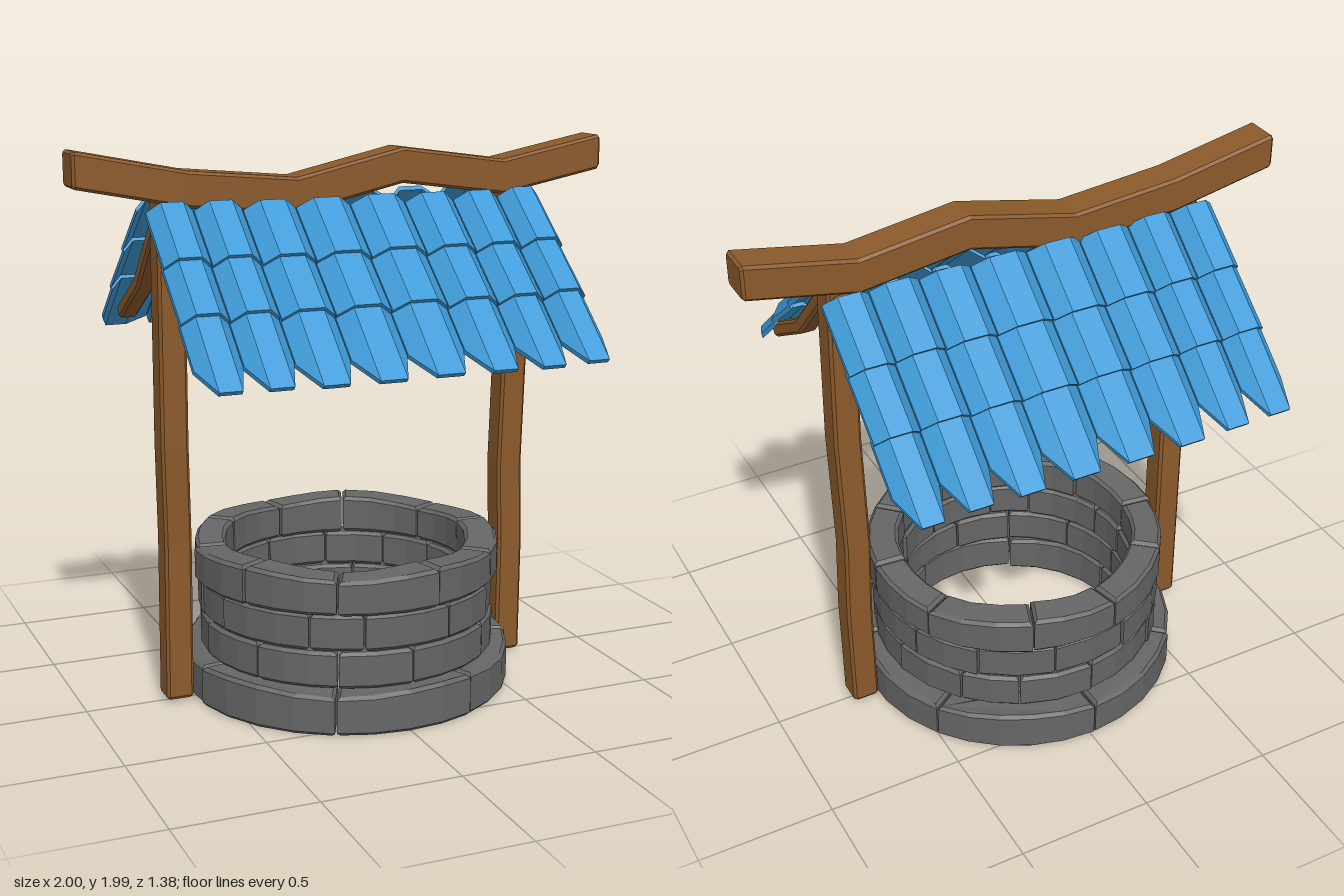
import * as THREE from 'three';

const mat = (color) => new THREE.MeshStandardMaterial({ color, flatShading: true, roughness: 0.9 });
const wood = mat(0x8b5a2b), stone = mat(0x666666), tileBlue = mat(0x3f9bd8);
const V = (x, y, z) => new THREE.Vector3(x, y, z);

let seed = 7;
const rand = () => (seed = (seed * 16807) % 2147483647) / 2147483647;
const jitter = (a) => (rand() * 2 - 1) * a;

// Closed solid through a list of matching rings of points
function loft(rings) {
  const n = rings[0].length, pos = [];
  const quad = (a, b, c, d) => [a, b, c, a, c, d].forEach((p) => pos.push(p.x, p.y, p.z));
  for (let i = 0; i < rings.length - 1; i++) {
    for (let j = 0; j < n; j++) {
      const k = (j + 1) % n;
      quad(rings[i][j], rings[i][k], rings[i + 1][k], rings[i + 1][j]);
    }
  }
  const first = rings[0], last = rings[rings.length - 1];
  for (let k = 0; k < n / 2 - 1; k++) {
    quad(first[n - 1 - k], first[n - 2 - k], first[k + 1], first[k]);
    quad(last[k], last[k + 1], last[n - 2 - k], last[n - 1 - k]);
  }
  const g = new THREE.BufferGeometry();
  g.setAttribute('position', new THREE.Float32BufferAttribute(pos, 3));
  g.computeVertexNormals();
  return g;
}

// Chamfered timber along a path; a and b are its section axes (a x b points along the path)
function timber(name, path, a, b, ha, hb) {
  const c = 0.01;
  const section = (p, s) => [
    [ha - c, -hb], [ha, -hb + c], [ha, hb - c], [ha - c, hb],
    [-ha + c, hb], [-ha, hb - c], [-ha, -hb + c], [-ha + c, -hb],
  ].map(([u, v]) => p.clone().addScaledVector(a, u * s).addScaledVector(b, v * s));
  // Ends are slightly shrunk to bevel them
  const dir = path[path.length - 1].clone().sub(path[0]).normalize();
  const lo = path[0].clone().addScaledVector(dir, c), hi = path[path.length - 1].clone().addScaledVector(dir, -c);
  const rings = [section(path[0], 0.87), section(lo, 1),
    ...path.slice(1, -1).map((p) => section(p, 1)), section(hi, 1), section(path[path.length - 1], 0.87)];
  const m = new THREE.Mesh(loft(rings), wood);
  m.name = name;
  return m;
}

// One ring of bevelled wedge stones
function stoneRing(name, count, rIn, rOut, y0, y1, start, vary, wobble) {
  const ring = new THREE.Group();
  ring.name = name;
  const step = (Math.PI * 2) / count, bevel = 0.012;
  const joints = Array.from({ length: count }, (_, i) => start + i * step + jitter(step * vary));
  joints.push(joints[0] + Math.PI * 2);
  for (let i = 0; i < count; i++) {
    const ro = rOut + jitter(0.006), ri = rIn + jitter(0.008);
    const gap = 0.003, a0 = joints[i], a1 = joints[i + 1];
    const segs = Math.max(2, Math.round((a1 - a0) / 0.22));
    const pts = [];
    for (const [r, flip] of [[ro, false], [ri, true]]) {
      for (let s = 0; s <= segs; s++) {
        const t = (flip ? segs - s : s) / segs;
        const a = a0 + gap / r + (a1 - a0 - (2 * gap) / r) * t;
        pts.push(new THREE.Vector2(Math.cos(a) * r, Math.sin(a) * r));
      }
    }
    const geo = new THREE.ExtrudeGeometry(new THREE.Shape(pts), {
      depth: y1 - y0 - 2 * bevel, bevelEnabled: true, bevelSize: bevel, bevelOffset: -bevel,
      bevelThickness: bevel, bevelSegments: 1,
    });
    geo.translate(0, 0, bevel).rotateX(-Math.PI / 2);
    // Uneven upper faces
    const p = geo.attributes.position, lift = jitter(wobble * 0.4);
    for (let k = 0; k < p.count; k++) {
      const a = Math.atan2(p.getZ(k), p.getX(k)), t = p.getY(k) / (y1 - y0);
      p.setY(k, y0 + p.getY(k) + t * (lift + wobble * Math.sin(5 * a + 1)));
    }
    geo.computeVertexNormals();
    const m = new THREE.Mesh(geo, stone);
    m.name = 'stoneBlock';
    ring.add(m);
  }
  return ring;
}

// Ridged roof tile between slope distances u0 and u1; tip shortens its sides into a point
const down = V(0, -0.675, 0.738), up = V(0, 0.738, 0.675), eave = V(0, 1.815, 0.1);
function roofTile(xa, xb, u0, u1, tip) {
  const mid = (xa + xb) / 2, w = (xb - xa) / 2 - 0.002, f = w * 0.48, th = 0.018, d = 0.048;
  const ring = (u, lift, cut) => [
    [-w, -d - th, cut], [-f, -th, 0], [f, -th, 0], [w, -d - th, cut],
    [w, -d, cut], [f, 0, 0], [-f, 0, 0], [-w, -d, cut],
  ].map(([x, v, c]) => eave.clone().add(V(mid + x, 0, 0)).addScaledVector(down, u - c).addScaledVector(up, v + lift));
  return loft([ring(u0, -0.005, 0), ring(u1, tip ? 0 : 0.01, tip)]);
}

// One roof slope with tiles, rafters and a purlin; mirror swaps x for the rear slope
function roofSide(name, mirror) {
  const side = new THREE.Group();
  side.name = name;
  let edges = [-0.755, -0.585, -0.41, -0.215, -0.01, 0.2, 0.39, 0.57, 0.738];
  if (mirror) edges = edges.map((x) => -x).reverse();
  const rows = [[0, 0.255, 0], [0.235, 0.49, 0], [0.47, 0.795, 0.125]];
  for (let i = 0; i < 8; i++) {
    const s = jitter(0.005);
    for (const [u0, u1, tip] of rows) {
      const m = new THREE.Mesh(roofTile(edges[i], edges[i + 1], u0 + s, u1 + s, tip), tileBlue);
      m.name = 'roofTile';
      side.add(m);
    }
  }
  const X = V(1, 0, 0), n = V(0, 0.738, 0.675);
  for (const x of [-0.66, 0.66]) {
    side.add(timber('rafter', [V(x, 1.77, 0.03), V(x, 1.485, 0.3), V(x, 1.335, 0.55)], X, n, 0.035, 0.027));
  }
  side.add(timber('purlin', [V(-0.66, 1.5, 0.3), V(0.66, 1.5, 0.3)], V(0, 1, 0), V(0, 0, 1), 0.022, 0.022));
  if (mirror) side.rotation.y = Math.PI;
  return side;
}

export function createModel() {
  const model = new THREE.Group();
  model.name = 'waterWell';

  // Stone wall
  const wall = new THREE.Group();
  wall.name = 'wellWall';
  wall.add(
    stoneRing('baseRing', 7, 0.45, 0.607, 0, 0.147, 0.65, 0.06, 0.008),
    stoneRing('lowerRing', 12, 0.445, 0.546, 0.15, 0.283, 0.1, 0.22, 0),
    stoneRing('middleRing', 12, 0.445, 0.546, 0.286, 0.418, 0.35, 0.22, 0),
    stoneRing('rimRing', 10, 0.44, 0.563, 0.42, 0.553, 0.53, 0.08, 0.008),
  );
  model.add(wall);

  // Crooked posts
  const X = V(1, 0, 0), Y = V(0, 1, 0), Z = V(0, 0, 1);
  model.add(
    timber('rightPost', [V(-0.663, 0.015, 0), V(-0.655, 0.6, -0.012), V(-0.663, 0.95, 0), V(-0.66, 1.82, 0)], Z, X, 0.05, 0.05),
    timber('leftPost', [V(0.66, 0.015, 0), V(0.668, 0.45, -0.008), V(0.66, 0.75, -0.01), V(0.668, 1.2, 0), V(0.66, 1.82, 0)], Z, X, 0.05, 0.05),
  );

  // Bent ridge beam
  const ridge = [[-1, 1.925], [-0.6, 1.848], [-0.2, 1.812], [0.2, 1.903], [0.6, 1.848], [1, 1.925]];
  model.add(timber('ridgeBeam', ridge.map(([x, y]) => V(x, y, -0.008)), Y, Z, 0.063, 0.068));

  // Tiled roof
  model.add(roofSide('frontRoof', false), roofSide('backRoof', true));
  return model;
}
